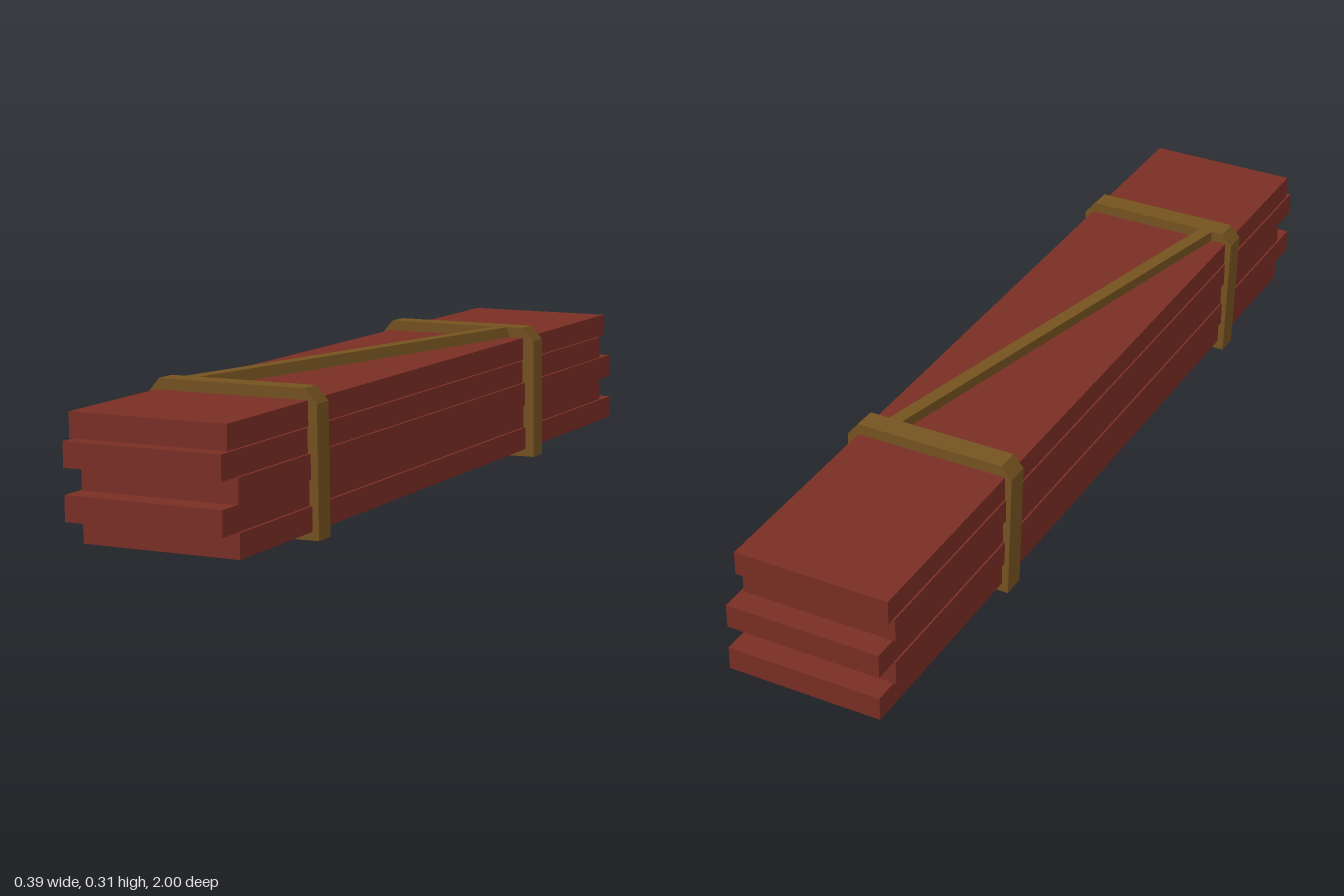
import * as THREE from 'three';

const plankRed = new THREE.MeshStandardMaterial({ name: 'plankRed', color: 0x7a2e24, flatShading: true });
const strapBrown = new THREE.MeshStandardMaterial({ name: 'strapBrown', color: 0x765320, flatShading: true });

// Box with its corners moved by a rule
function movedBox(w, h, d, rule) {
  const geo = new THREE.BoxGeometry(w, h, d);
  const p = geo.attributes.position;
  for (let i = 0; i < p.count; i++) p.setXYZ(i, ...rule(p.getX(i), p.getY(i), p.getZ(i)));
  geo.computeVertexNormals();
  return geo;
}

// Closed band around the stack, leaning slightly along z
function strap(name, zBack, width, right) {
  const shape = new THREE.Shape([
    [-0.188, 0], [right, 0.003], [right, 0.28], [right - 0.026, 0.31], [-0.172, 0.31], [-0.195, 0.283],
  ].map(([x, y]) => new THREE.Vector2(x, y)));
  shape.holes.push(new THREE.Path([
    [-0.165, 0.024], [-0.165, 0.282], [0.16, 0.282], [0.16, 0.024],
  ].map(([x, y]) => new THREE.Vector2(x, y))));
  const geo = new THREE.ExtrudeGeometry(shape, { depth: width, bevelEnabled: false });
  const p = geo.attributes.position;
  for (let i = 0; i < p.count; i++) p.setZ(i, p.getZ(i) + zBack + 0.008 * p.getY(i) / 0.31);
  geo.computeVertexNormals();
  const mesh = new THREE.Mesh(geo, strapBrown);
  mesh.name = name;
  return mesh;
}

export function createModel() {
  const model = new THREE.Group();
  model.name = 'plankBundle';

  // Stacked planks: centre x, bottom y, top y, centre z
  [
    [0, 0.021, 0.073, -0.0275],
    [-0.006, 0.073, 0.126, 0.0275],
    [-0.002, 0.126, 0.179, -0.0275],
    [-0.008, 0.179, 0.231, 0.0275],
    [-0.006, 0.234, 0.286, 0.0075],
  ].forEach(([x, y0, y1, z], i) => {
    const plank = new THREE.Mesh(new THREE.BoxGeometry(0.348, y1 - y0, 1.945), plankRed);
    plank.position.set(x, (y0 + y1) / 2, z);
    plank.name = `plank${i + 1}`;
    model.add(plank);
  });

  // Two bands
  model.add(strap('frontStrap', 0.597, 0.05, 0.188));
  model.add(strap('backStrap', -0.5, 0.052, 0.194));

  // Diagonal strip on top, with one sloping side
  const diagonal = new THREE.Mesh(movedBox(1, 1, 1, (x, y, z) => {
    const centre = z > 0 ? -0.13 : 0.111;
    const offset = x < 0 ? -0.015 : (y > 0 ? 0.017 : 0.028);
    return [centre + offset, y > 0 ? 0.309 : 0.284, z > 0 ? 0.61 : -0.455];
  }), strapBrown);
  diagonal.name = 'diagonalStrap';
  model.add(diagonal);

  return model;
}
